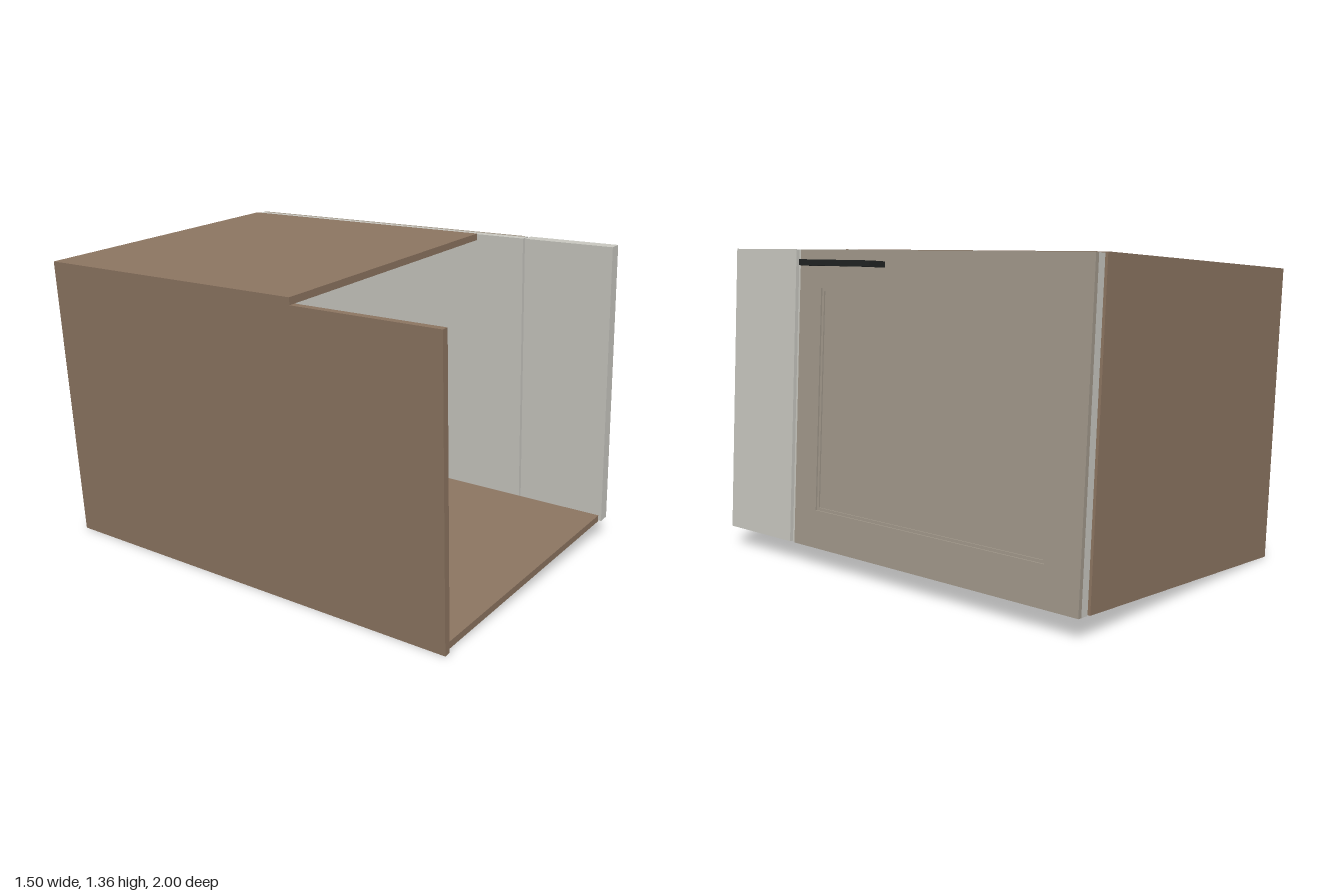
import * as THREE from 'three';

const mat = (name, color) => Object.assign(new THREE.MeshStandardMaterial({ color }), { name });

export function createModel() {
  const wood = mat('wood', 0x8b7460);
  const light = mat('paleGrey', 0xc7c6bf);
  const beige = mat('beige', 0xa0978a);
  const black = mat('black', 0x202222);
  const red = mat('red', 0xa5342e);
  const green = mat('green', 0x2f805c);
  const blue = mat('blue', 0x2a6b96);

  const model = new THREE.Group();
  model.name = 'openCabinet';
  const cabinet = new THREE.Group();
  cabinet.name = 'cabinet';
  // the whole cabinet leans slightly
  cabinet.position.set(-0.67, 0, 0);
  cabinet.rotation.set(0, -0.007, 0.063);
  model.add(cabinet);

  const add = (name, geometry, material, parent = cabinet) => {
    const mesh = new THREE.Mesh(geometry, material);
    mesh.name = name;
    parent.add(mesh);
    return mesh;
  };
  // box given by its lower and upper corners
  const box = (name, a, b, material, parent) => {
    const m = add(name, new THREE.BoxGeometry(b[0] - a[0], b[1] - a[1], b[2] - a[2]), material, parent);
    m.position.set((a[0] + b[0]) / 2, (a[1] + b[1]) / 2, (a[2] + b[2]) / 2);
    return m;
  };

  // carcass boards
  box('leftBoard', [0, 0, -0.995], [0.03, 1.25, 0.995], wood);
  box('bottomBoard', [0.03, 0, -0.995], [1.345, 0.03, 0.98], wood);
  box('topBoard', [0, 1.25, -0.995], [1.345, 1.28, 0.335], wood);
  box('backBoard', [0.03, 0.03, -0.995], [1.345, 1.25, -0.965], wood);

  // door core, filler board and framed door face
  box('doorCore', [1.355, 0, -0.99], [1.392, 1.275, 0.565], light);
  box('doorEdge', [1.392, 0, 0.545], [1.402, 1.275, 0.565], light);
  box('fillerBoard', [1.355, 0, 0.575], [1.41, 1.275, 0.99], light);
  box('doorPanel', [1.39, 0.15, -0.84], [1.397, 1.13, 0.42], beige);
  const rect = (shape, x0, y0, x1, y1) =>
    shape.moveTo(x0, y0).lineTo(x1, y0).lineTo(x1, y1).lineTo(x0, y1).closePath();
  const frame = new THREE.Shape();
  rect(frame, -0.545, 0, 0.99, 1.275);
  const opening = new THREE.Path();
  rect(opening, -0.41, 0.165, 0.83, 1.115);
  frame.holes.push(opening);
  const face = add('doorFrame', new THREE.ExtrudeGeometry(frame, { depth: 0.018, bevelEnabled: false }), beige);
  face.rotation.y = Math.PI / 2;
  face.position.x = 1.392;
  // bead around the door panel
  for (const z of [-0.83, 0.398]) box('panelBead', [1.39, 0.165, z], [1.403, 1.115, z + 0.012], beige);
  for (const y of [0.165, 1.103]) box('panelBead', [1.39, y, -0.83], [1.403, y + 0.012, 0.41], beige);

  // black pull handle
  box('pullBar', [1.47, 1.205, 0.03], [1.495, 1.23, 0.455], black);
  for (const z of [0.03, 0.43]) box('pullLeg', [1.41, 1.205, z], [1.47, 1.23, z + 0.025], black);

  // small bracket behind the door
  box('bracket', [1.3, 0.075, 0], [1.355, 0.115, 0.05], beige);

  // bin with rounded rim and recessed lid
  const bin = new THREE.Group();
  bin.name = 'bin';
  bin.position.set(0.41, 0.64, -0.965);
  cabinet.add(bin);
  const rounded = (path, w, h, r) => {
    const x = w / 2, y = h / 2;
    path.moveTo(-x + r, -y).lineTo(x - r, -y).quadraticCurveTo(x, -y, x, -y + r).lineTo(x, y - r)
      .quadraticCurveTo(x, y, x - r, y).lineTo(-x + r, y).quadraticCurveTo(-x, y, -x, y - r)
      .lineTo(-x, -y + r).quadraticCurveTo(-x, -y, -x + r, -y);
    return path;
  };
  const wall = rounded(new THREE.Shape(), 0.42, 0.8, 0.02);
  wall.holes.push(rounded(new THREE.Path(), 0.395, 0.775, 0.015));
  add('binWall', new THREE.ExtrudeGeometry(wall, { depth: 0.25, bevelEnabled: false }), light, bin);
  const rim = rounded(new THREE.Shape(), 0.43, 0.81, 0.02);
  rim.holes.push(rounded(new THREE.Path(), 0.405, 0.785, 0.015));
  const rimGeo = new THREE.ExtrudeGeometry(rim, { depth: 0.02, bevelSize: 0.005, bevelThickness: 0.005, bevelSegments: 2 });
  add('binRim', rimGeo, light, bin).position.z = 0.23;
  add('binLid', new THREE.ExtrudeGeometry(rounded(new THREE.Shape(), 0.4, 0.78, 0.02),
    { depth: 0.12, bevelEnabled: false }), light, bin);
  // arched bin handle
  const v = (y, z) => new THREE.Vector3(0, y, z);
  const arch = new THREE.CatmullRomCurve3([v(-0.235, 0.11), v(-0.235, 0.19), v(-0.19, 0.24),
    v(0, 0.255), v(0.19, 0.24), v(0.235, 0.19), v(0.235, 0.11)]);
  add('binHandle', new THREE.TubeGeometry(arch, 40, 0.012, 10), light, bin);

  // three round bottles with red caps
  const profile = [[0, 0], [0.095, 0], [0.095, 0.2], [0.089, 0.235], [0.072, 0.275], [0.046, 0.31], [0.04, 0.33]]
    .map(([r, h]) => new THREE.Vector2(r, h));
  [[0.872, light], [0.642, green], [0.416, blue]].forEach(([y, material]) => {
    const bottle = new THREE.Group();
    bottle.name = 'bottle';
    bottle.position.set(0.947, y, -0.965);
    bottle.rotation.x = Math.PI / 2;
    cabinet.add(bottle);
    add('bottleBody', new THREE.LatheGeometry(profile, 32), material, bottle);
    add('bottleCap', new THREE.CylinderGeometry(0.046, 0.046, 0.06, 28), red, bottle).position.y = 0.345;
  });

  return model;
}
